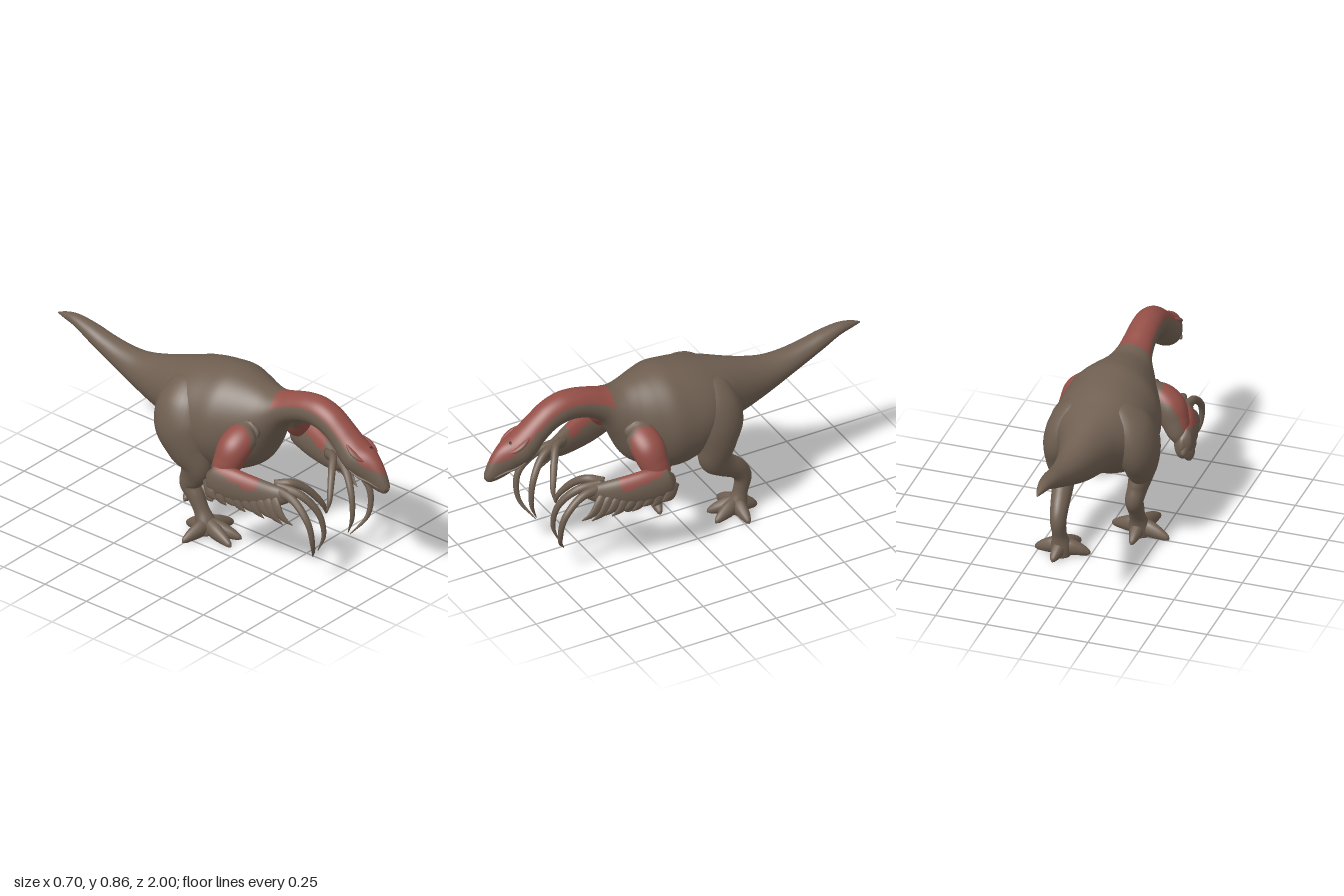
import * as THREE from 'three';

const V = (x, y, z) => new THREE.Vector3(x, y, z);

export function createModel() {
  const hide = new THREE.MeshStandardMaterial({ color: 0x6f5f51 });
  hide.name = 'brown hide';
  const red = new THREE.MeshStandardMaterial({ color: 0x944f47 });
  red.name = 'red plumage';
  const dark = new THREE.MeshStandardMaterial({ color: 0x3a2622 });
  dark.name = 'dark eye';
  const model = new THREE.Group();
  model.name = 'dinosaur';

  // Closed skin over rings {c, u, v}; paint(point, sin) picks the red faces
  function loft(name, rings, sides, parent, paint) {
    const pos = [], lists = [[], []], n = rings.length;
    for (const { c, u, v } of rings) {
      for (let j = 0; j < sides; j++) {
        const a = (j / sides) * Math.PI * 2;
        const p = c.clone().addScaledVector(u, Math.cos(a)).addScaledVector(v, Math.sin(a));
        pos.push(p.x, Math.max(p.y, 0.008), p.z);
      }
    }
    const first = n * sides, last = first + 1;
    for (const r of [rings[0], rings[n - 1]]) pos.push(r.c.x, Math.max(r.c.y, 0.008), r.c.z);
    for (let i = 0; i < n - 1; i++) {
      for (let j = 0; j < sides; j++) {
        const k = (j + 1) % sides;
        const a = i * sides + j, b = i * sides + k, c = b + sides, d = a + sides;
        const mid = V(0, 0, 0);
        for (const q of [a, b, c, d]) mid.add(V(pos[q * 3], pos[q * 3 + 1], pos[q * 3 + 2]));
        const isRed = paint && paint(mid.multiplyScalar(0.25), Math.sin(((j + 0.5) / sides) * Math.PI * 2));
        lists[isRed ? 1 : 0].push(a, b, c, a, c, d);
      }
    }
    for (let j = 0; j < sides; j++) {
      const k = (j + 1) % sides, e = (n - 1) * sides;
      lists[0].push(first, k, j, last, e + j, e + k);
    }
    const geo = new THREE.BufferGeometry();
    geo.setAttribute('position', new THREE.Float32BufferAttribute(pos, 3));
    geo.setIndex([...lists[0], ...lists[1]]);
    geo.addGroup(0, lists[0].length, 0);
    if (lists[1].length) geo.addGroup(lists[0].length, lists[1].length, 1);
    geo.computeVertexNormals();
    const mesh = new THREE.Mesh(geo, lists[1].length ? [hide, red] : hide);
    mesh.name = name;
    parent.add(mesh);
  }

  // Limb through rows [x, y, z, radius across, radius deep]; s mirrors x
  function limb(name, rows, s, steps, sides, parent, paint) {
    const path = new THREE.CatmullRomCurve3(rows.map(r => V(r[0] * s, r[1], r[2])));
    const size = new THREE.CatmullRomCurve3(rows.map((r, i) => V(r[3], r[4] ?? r[3], i * 0.05)));
    const span = path.points[path.points.length - 1].clone().sub(path.points[0]).normalize();
    const ref = Math.abs(span.x) > 0.75 ? V(0, 0, 1) : V(1, 0, 0);
    const rings = [];
    for (let i = 0; i <= steps; i++) {
      const c = path.getPoint(i / steps), t = path.getTangent(i / steps), r = size.getPoint(i / steps);
      const u = ref.clone().addScaledVector(t, -ref.dot(t)).normalize();
      const v = t.clone().cross(u);
      rings.push({ c, u: u.multiplyScalar(Math.max(r.x, 0.001)), v: v.multiplyScalar(Math.max(r.y, 0.001)) });
    }
    loft(name, rings, sides, parent, paint);
  }

  // Tail, trunk, neck and head: [top z, top y, bottom z, bottom y, half width]
  const outline = [
    [-1, .752, -1, .745, .003], [-.96, .768, -.95, .735, .018], [-.9, .778, -.88, .718, .032],
    [-.8, .765, -.78, .67, .048], [-.7, .74, -.68, .622, .058], [-.6, .722, -.58, .575, .07],
    [-.5, .72, -.48, .53, .085], [-.4, .74, -.4, .5, .105], [-.3, .77, -.3, .475, .14],
    [-.2, .8, -.2, .435, .2], [-.1, .83, -.1, .375, .235], [0, .85, 0, .33, .24],
    [.08, .858, .09, .33, .235], [.16, .845, .19, .37, .2], [.22, .83, .27, .43, .165],
    [.29, .815, .34, .57, .122], [.36, .825, .39, .66, .088], [.44, .85, .45, .7, .076],
    [.52, .868, .52, .722, .073], [.6, .868, .58, .722, .072], [.68, .84, .64, .7, .071],
    [.75, .79, .7, .65, .072], [.8, .75, .74, .6, .077], [.85, .715, .79, .565, .081],
    [.9, .69, .85, .54, .064], [.94, .655, .9, .515, .046], [.975, .6, .945, .503, .032],
    [.995, .55, .975, .503, .02], [1, .53, .987, .51, .003]];
  const top = new THREE.CatmullRomCurve3(outline.map(r => V(0, r[1], r[0])));
  const bottom = new THREE.CatmullRomCurve3(outline.map(r => V(0, r[3], r[2])));
  const width = new THREE.CatmullRomCurve3(outline.map((r, i) => V(r[4], 0, i * 0.05)));
  const rings = [];
  for (let i = 0; i <= 224; i++) {
    const a = top.getPoint(i / 224), b = bottom.getPoint(i / 224), w = width.getPoint(i / 224).x;
    rings.push({ c: a.clone().add(b).multiplyScalar(0.5), u: V(Math.max(w, 0.002), 0, 0), v: a.sub(b).multiplyScalar(0.5) });
  }
  loft('body', rings, 64, model, (p, sin) =>
    p.z > 0.345 && p.y > 0.6 + Math.abs(p.x) * 0.6 && sin > (p.z > 0.74 && p.z < 0.86 ? 0.5 : 0.35));

  // Brow ridges, eye pit and mouth line
  for (const s of [-1, 1]) {
    limb('brow', [[.056, .72, .79, .005, .005], [.062, .696, .825, .015, .011],
      [.057, .674, .86, .014, .01], [.04, .656, .895, .004, .004]], s, 20, 14, model, p => Math.abs(p.x) < 0.069);
    limb('mouthLine', [[.071, .6, .815, .002], [.064, .578, .86, .005], [.047, .56, .91, .005],
      [.029, .537, .955, .004], [.008, .52, .988, .002]], s, 16, 8, model);
  }
  const eye = new THREE.Mesh(new THREE.SphereGeometry(1, 12, 8), dark);
  eye.name = 'eye';
  eye.scale.set(0.015, 0.004, 0.009);
  eye.position.set(0.017, 0.698, 0.872);
  eye.rotation.x = 0.6;
  model.add(eye);

  // Arms with feathered forearms and long curved claws
  const claws = [
    [[.19, .445, .47, .018, .028], [.155, .465, .53, .02], [.1, .43, .57, .018], [.055, .375, .6, .016], [.022, .32, .62, .012], [.002, .268, .62, .003]],
    [[.2, .44, .48, .02, .03], [.165, .43, .59, .02], [.12, .34, .67, .016], [.103, .22, .69, .011], [.11, .13, .66, .002]],
    [[.215, .435, .48, .02, .03], [.215, .42, .6, .02], [.222, .33, .695, .016], [.2, .2, .705, .011], [.135, .105, .65, .002]]];
  for (const s of [-1, 1]) {
    const arm = new THREE.Group();
    arm.name = s > 0 ? 'leftArm' : 'rightArm';
    model.add(arm);
    limb('upperArm', [[.08, .62, .27, .02, .03], [.155, .632, .265, .055, .07], [.218, .585, .25, .074, .08],
      [.25, .52, .235, .067, .072], [.275, .46, .215, .05, .055], [.295, .41, .2, .015, .02]],
    s, 60, 36, arm, p => Math.abs(p.x) > 0.185 + 0.3 * Math.max(0, 0.08 - Math.abs(p.y - 0.6)) && p.z > 0.185 && p.y > 0.435);
    limb('forearm', [[.305, .44, .155, .01, .02], [.305, .432, .19, .043, .078], [.29, .422, .28, .048, .092],
      [.262, .412, .38, .044, .082], [.228, .41, .47, .036, .062], [.2, .42, .55, .024, .034], [.193, .425, .58, .004]],
    s, 60, 36, arm, p => p.y > Math.max(0.43, 0.505 - 0.35 * (p.z - 0.2)) && p.z < 0.425 && p.z > 0.18);
    for (const rows of claws) limb('claw', rows, s, 30, 12, arm);
    // Overlapping ragged feathers below the forearm, longer towards the hand
    for (let i = 0; i < 9; i++) {
      const f = i / 8, drop = 0.025 + 0.055 * f + (i % 2) * 0.014;
      const x = .325 - .09 * f, y = .375 + .005 * f, z = .19 + .31 * f;
      limb('feather', [[x - .01, y + .045, z - .03, .014, .03], [x + .01, y, z + .01, .016, .036],
        [x + .015, y - drop * .6, z + .03 + .03 * f, .01, .02],
        [x + .014 * (1 - f), y - drop, z + .05 + .06 * f, .002]], s, 12, 10, arm);
    }
  }

  // Legs in mid stride, with splayed toes given as [tip x, tip z]
  function leg(name, rows, foot, tips) {
    const group = new THREE.Group();
    group.name = name;
    model.add(group);
    limb('legAndShin', rows, 1, 60, 32, group);
    for (const [x, z] of tips) {
      const at = (f, y, r, h) => [foot[0] + (x - foot[0]) * f, y, foot[1] + (z - foot[1]) * f, r, h];
      limb('toe', [at(0, .058, .03, .04), at(.35, .045, .032, .04), at(.7, .032, .024, .028),
        at(.93, .02, .013, .015), at(1, .014, .003, .003)], 1, 20, 14, group);
    }
  }
  leg('leftLeg', [[.05, .77, -.16, .02, .04], [.085, .73, -.155, .07, .09], [.132, .65, -.15, .095, .125], [.165, .56, -.15, .09, .13],
    [.176, .46, -.14, .075, .1], [.17, .37, -.135, .06, .078], [.158, .315, -.185, .05, .062], [.145, .255, -.265, .043, .05],
    [.14, .2, -.298, .038, .044], [.137, .12, -.288, .034, .036], [.135, .06, -.275, .048, .046], [.135, .012, -.268, .05, .05]],
  [.135, -.268], [[.265, -.265], [.002, -.24], [.185, -.13], [.085, -.14], [.145, -.37]]);
  leg('rightLeg', [[-.055, .77, -.12, .02, .04], [-.095, .73, -.12, .075, .1], [-.15, .65, -.115, .105, .135], [-.188, .56, -.105, .098, .14],
    [-.19, .46, -.065, .08, .115], [-.175, .37, -.025, .06, .085], [-.165, .3, -.05, .046, .068], [-.158, .245, -.078, .043, .048],
    [-.153, .19, -.045, .04, .042], [-.15, .12, -.01, .037, .037], [-.15, .06, .015, .05, .048], [-.15, .012, .025, .05, .05]],
  [-.15, .025], [[-.302, .0], [-.002, .06], [-.19, .2], [-.1, .19], [-.15, -.1]]);

  return model;
}
